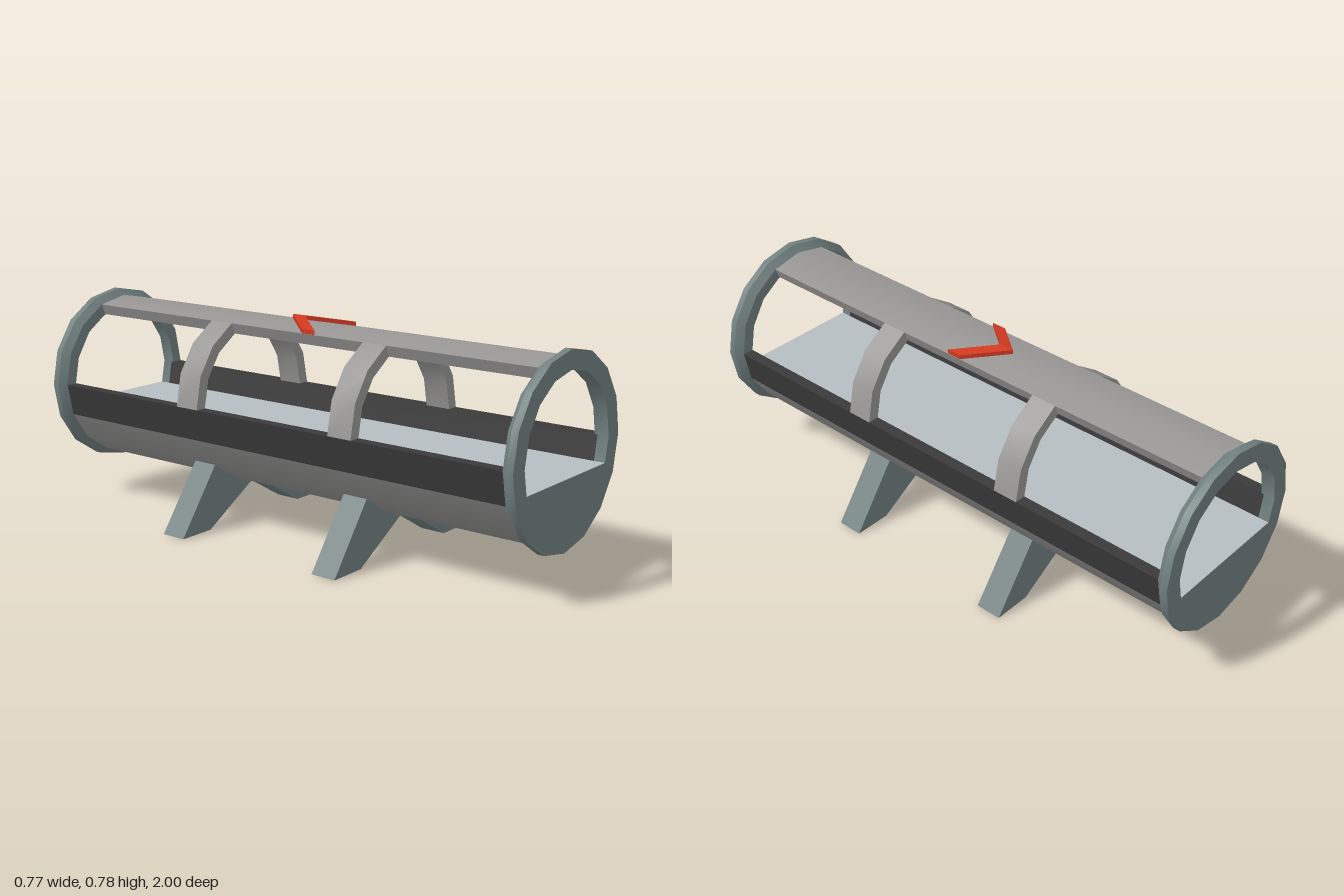
import * as THREE from 'three';
import { toCreasedNormals } from 'three/addons/utils/BufferGeometryUtils.js';

const CY = 0.449;          // height of the tube axis
const R_CAP = 0.328, R_OUT = 0.304, R_IN = 0.262;
const STEP = Math.PI / 8;  // sixteen-sided tube
const FLOOR_Y = 0.363;

const mat = (name, color) => {
  const m = new THREE.MeshStandardMaterial({ color });
  m.name = name;
  return m;
};

// Point on the tube at radius r, k sixteenths of a turn from +x
const at = (r, k) => new THREE.Vector2(r * Math.cos(k * STEP), CY + r * Math.sin(k * STEP));

const arc = (r, from, to) => {
  const pts = [], dir = Math.sign(to - from);
  for (let k = from; dir * (to - k) >= 0; k += dir) pts.push(at(r, k));
  return pts;
};

// Part of the tube wall between two angles
const wall = (from, to) => new THREE.Shape([...arc(R_OUT, from, to), ...arc(R_IN, to, from)]);

const poly = pts => new THREE.Shape(pts.map(([x, y]) => new THREE.Vector2(x, y)));

export function createModel() {
  const gray = mat('tube gray', 0x989796);
  const dark = mat('rail charcoal', 0x3a3a3a);
  const slate = mat('slate green', 0x728080);
  const pale = mat('floor pale gray', 0xb6bdc2);
  const red = mat('marker red', 0xd03820);

  const model = new THREE.Group();
  model.name = 'openTube';

  const add = (name, geometry, material) => {
    const mesh = new THREE.Mesh(toCreasedNormals(geometry, 0.5), material);
    mesh.name = name;
    model.add(mesh);
    return mesh;
  };

  // Extrude a front-view outline along z, centred on zc
  const slab = (name, shape, length, zc, material) => {
    const g = new THREE.ExtrudeGeometry(shape, { depth: length, bevelEnabled: false });
    g.translate(0, 0, zc - length / 2);
    return add(name, g, material);
  };

  // Lower hull, floor and roof strip
  slab('lowerHull', new THREE.Shape([...arc(R_OUT, -7, -1), at(R_IN, -1), at(R_IN, -7)]), 1.92, 0, gray);
  slab('floor', poly([[-0.242, 0.349], [0.242, 0.349], [0.245, FLOOR_Y + 0.001], [-0.245, FLOOR_Y + 0.001]]),
    1.998, 0, pale);
  slab('roofStrip', wall(3, 5), 1.92, 0, gray);

  // Dark side rails
  slab('leftRail', wall(-1, 0), 1.92, 0, dark);
  slab('rightRail', wall(8, 9), 1.92, 0, dark);

  // Hoops and splayed legs
  for (const z of [-0.336, 0.336]) {
    slab('leftHoop', wall(0, 3), 0.095, z, gray);
    slab('rightHoop', wall(5, 8), 0.095, z, gray);
    for (const s of [1, -1]) {
      const top = [at(R_OUT, -2), at(R_OUT, -3), at(R_OUT, -4)].map(p => [s * p.x, p.y]);
      slab(s > 0 ? 'leftLeg' : 'rightLeg', poly([[s * 0.245, 0], [s * 0.385, 0], ...top]), 0.095, z, slate);
    }
  }

  // End caps: a collar with an opening above the floor, tapered towards the tube
  const capShape = new THREE.Shape(arc(R_CAP, 0, 15));
  capShape.holes.push(new THREE.Path([
    new THREE.Vector2(0.245, FLOOR_Y), ...arc(R_IN, 0, 8), new THREE.Vector2(-0.245, FLOOR_Y),
  ]));
  const capGeometry = new THREE.ExtrudeGeometry(capShape, { depth: 0.05, steps: 2, bevelEnabled: false });
  const p = capGeometry.attributes.position;
  for (let i = 0; i < p.count; i++) {
    const x = p.getX(i), y = p.getY(i) - CY;
    if (p.getZ(i) < 0.001 && Math.hypot(x, y) > 0.3) {
      const k = R_OUT / R_CAP;
      p.setXY(i, x * k, CY + y * k);
    }
  }
  capGeometry.translate(0, 0, 0.95);
  add('frontCap', capGeometry, slate);
  add('backCap', capGeometry, slate).rotation.y = Math.PI;

  // Direction marker folded over the roof ridge, pointing to the back
  for (const s of [1, -1]) {
    const arm = poly([[0, 0.105], [s * 0.115, -0.03], [s * 0.115, -0.085], [0, 0.05]]);
    const g = new THREE.ExtrudeGeometry(arm, { depth: 0.018, bevelEnabled: false });
    g.rotateX(-Math.PI / 2);
    const q = g.attributes.position;
    for (let i = 0; i < q.count; i++) {
      q.setY(i, q.getY(i) + 0.75 - 0.2 * Math.abs(q.getX(i)));
    }
    add(s > 0 ? 'leftMarkerArm' : 'rightMarkerArm', g, red);
  }

  return model;
}
